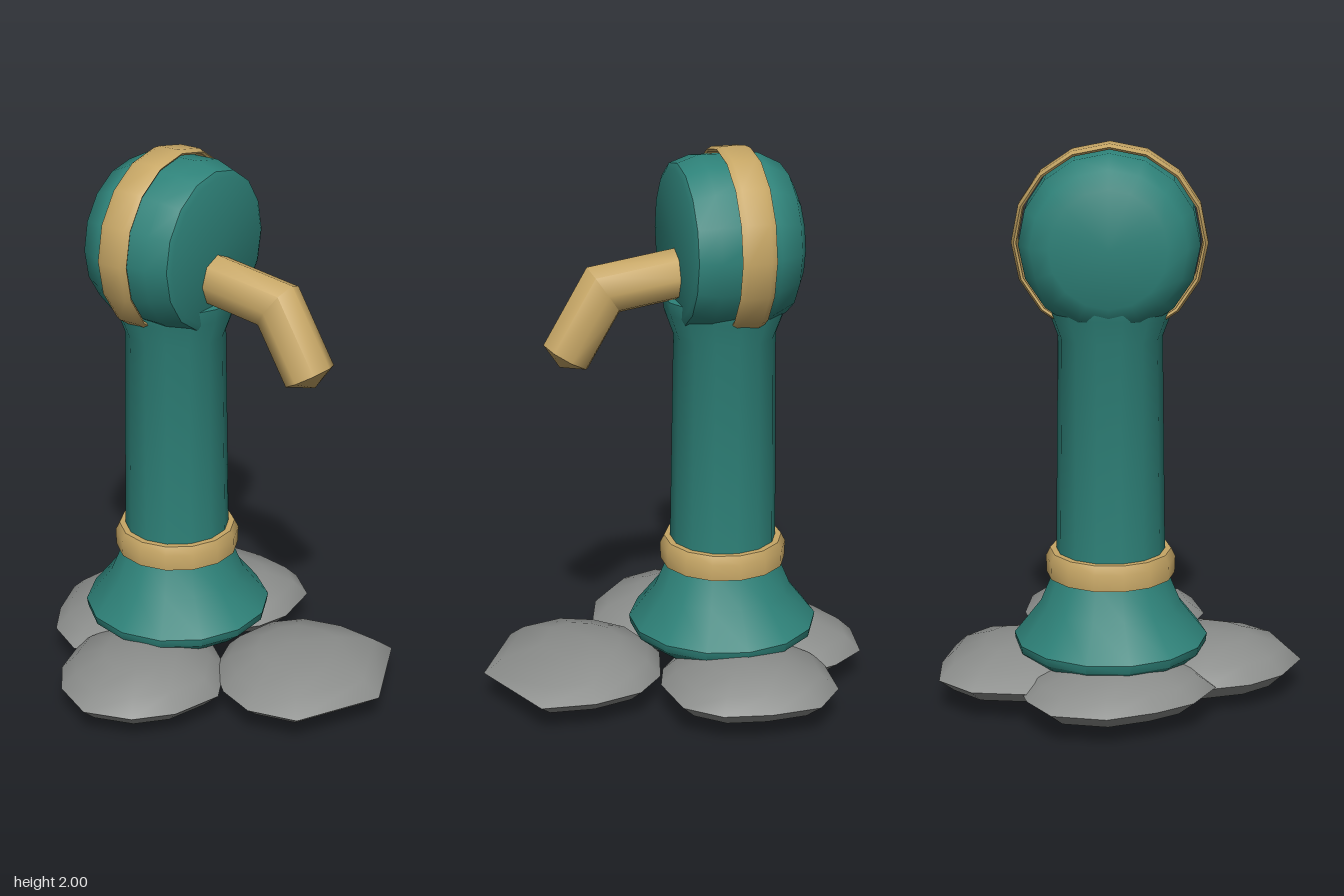
import * as THREE from 'three';
import { toCreasedNormals } from 'three/addons/utils/BufferGeometryUtils.js';

const material = (name, color) => {
  const m = new THREE.MeshStandardMaterial({ color });
  m.name = name;
  return m;
};

// Skin of quads between loops with equal point counts
function loft(rings, crease) {
  const n = rings[0].length, index = [];
  for (let i = 0; i < rings.length - 1; i++) {
    for (let j = 0; j < n; j++) {
      const k = (j + 1) % n;
      const a = i * n + j, b = i * n + k, c = a + n, d = b + n;
      index.push(a, b, d, a, d, c);
    }
  }
  const g = new THREE.BufferGeometry();
  g.setAttribute('position', new THREE.Float32BufferAttribute(rings.flat(2), 3));
  g.setIndex(index);
  return toCreasedNormals(g, crease);
}

function lathe(profile, sides, start = 0) {
  const pts = profile.map(([r, y]) => new THREE.Vector2(r, y));
  return toCreasedNormals(new THREE.LatheGeometry(pts, sides, start), 0.75);
}

// Flat pebble: outline is a loop of [x, z], scaled in towards both poles
function stone(outline, midY, half) {
  const n = outline.length;
  const cx = outline.reduce((s, p) => s + p[0], 0) / n;
  const cz = outline.reduce((s, p) => s + p[1], 0) / n;
  const levels = [[0, -1], [0.45, -0.9], [0.82, -0.5], [1, 0], [0.82, 0.5], [0.45, 0.88], [0, 1]];
  return loft(levels.map(([s, h]) => outline.map(([x, z]) =>
    [cx + (x - cx) * s, midY + h * half, cz + (z - cz) * s])), 0.9);
}

// Mitred pipe in the plane x = 0, path points [y, z], closed by a shallow cone
function pipe(path, r, sides, tip) {
  const pts = path.map(([y, z]) => new THREE.Vector3(0, y, z));
  const dirs = pts.slice(1).map((p, i) => p.clone().sub(pts[i]).normalize());
  const rings = pts.map((p, i) => {
    const before = dirs[Math.max(i - 1, 0)], after = dirs[Math.min(i, dirs.length - 1)];
    const d = before.clone().add(after).normalize();
    const stretch = 1 / d.dot(after);
    return Array.from({ length: sides }, (_, j) => {
      const a = j / sides * Math.PI * 2, s = Math.sin(a) * r * stretch;
      return [Math.cos(a) * r, p.y + d.z * s, p.z - d.y * s];
    });
  });
  const end = pts.at(-1).clone().addScaledVector(dirs.at(-1), tip);
  rings.push(rings[0].map(() => end.toArray()));
  return loft(rings, 0.85);
}

export function createModel() {
  const group = new THREE.Group();
  const teal = material('teal paint', 0x2e8279);
  const gold = material('brass', 0xc6a665);
  const gray = material('gray stone', 0x8b8d8b);
  const CX = 0.04, CZ = -0.2, HEAD_Y = 1.665;

  const add = (name, geometry, mat, x = 0, y = 0, z = 0) => {
    const mesh = new THREE.Mesh(geometry, mat);
    mesh.name = name;
    mesh.position.set(x, y, z);
    group.add(mesh);
    return mesh;
  };

  // Four stones under the foot
  add('frontStone', stone([[0.04, 0.7], [0.37, 0.555], [0.386, 0.363], [0.34, 0.187], [0.23, 0.086],
    [0.04, 0.04], [-0.14, 0.1], [-0.25, 0.217], [-0.305, 0.363], [-0.26, 0.543]], 0.11, 0.1), gray);
  add('rightStone', stone([[-0.65, -0.11], [-0.59, 0.06], [-0.47, 0.165], [-0.285, 0.22], [-0.1, 0.12],
    [0.01, -0.02], [0.02, -0.2], [-0.1, -0.36], [-0.285, -0.42], [-0.457, -0.367], [-0.573, -0.273]],
    0.108, 0.108), gray);
  add('leftStone', stone([[0.648, -0.206], [0.64, -0.386], [0.517, -0.494], [0.29, -0.51], [0.12, -0.4],
    [0.03, -0.2], [0.09, -0.02], [0.2, 0.07], [0.322, 0.109], [0.517, 0.08], [0.618, -0.037]],
    0.122, 0.1), gray);
  add('backStone', stone([[0.04, -0.71], [-0.127, -0.644], [-0.255, -0.56], [-0.333, -0.41], [-0.27, -0.22],
    [-0.1, -0.1], [0.12, -0.1], [0.28, -0.22], [0.35, -0.45], [0.32, -0.554], [0.23, -0.68]],
    0.115, 0.095), gray);

  // Flared foot and column with a widened neck
  add('foot', lathe([[0, 0.16], [0.28, 0.16], [0.34, 0.21], [0.345, 0.24], [0.25, 0.36],
    [0.2, 0.48], [0, 0.48]], 14, Math.PI / 2), teal, CX, 0, CZ);
  add('column', lathe([[0, 0.47], [0.193, 0.47], [0.193, 0.56], [0.182, 1.33], [0.215, 1.42],
    [0.22, 1.47], [0, 1.47]], 14, Math.PI / 2), teal, CX, 0, CZ);
  add('collar', lathe([[0.18, 0.465], [0.228, 0.47], [0.23, 0.53], [0.215, 0.56], [0.18, 0.56]],
    14, Math.PI / 2), gold, CX, 0, CZ);

  // Drum-shaped head lying along z
  add('head', lathe([[0, -0.43], [0.2, -0.428], [0.265, -0.395], [0.308, -0.31], [0.31, -0.1],
    [0.285, -0.025], [0.265, -0.015], [0, -0.015]], 16), teal, CX, HEAD_Y, 0).rotation.x = Math.PI / 2;

  // Hoop standing just clear of the head
  add('headHoop', lathe([[0.317, -0.225], [0.317, -0.28], [0.325, -0.287], [0.335, -0.265], [0.335, -0.185],
    [0.325, -0.165], [0.317, -0.17], [0.317, -0.225]], 16), gold, CX, HEAD_Y, 0).rotation.x = Math.PI / 2;

  // Bent spout
  add('spout', pipe([[1.565, -0.06], [1.52, 0.24], [1.29, 0.375]], 0.092, 8, 0.045), gold, CX);

  return group;
}
